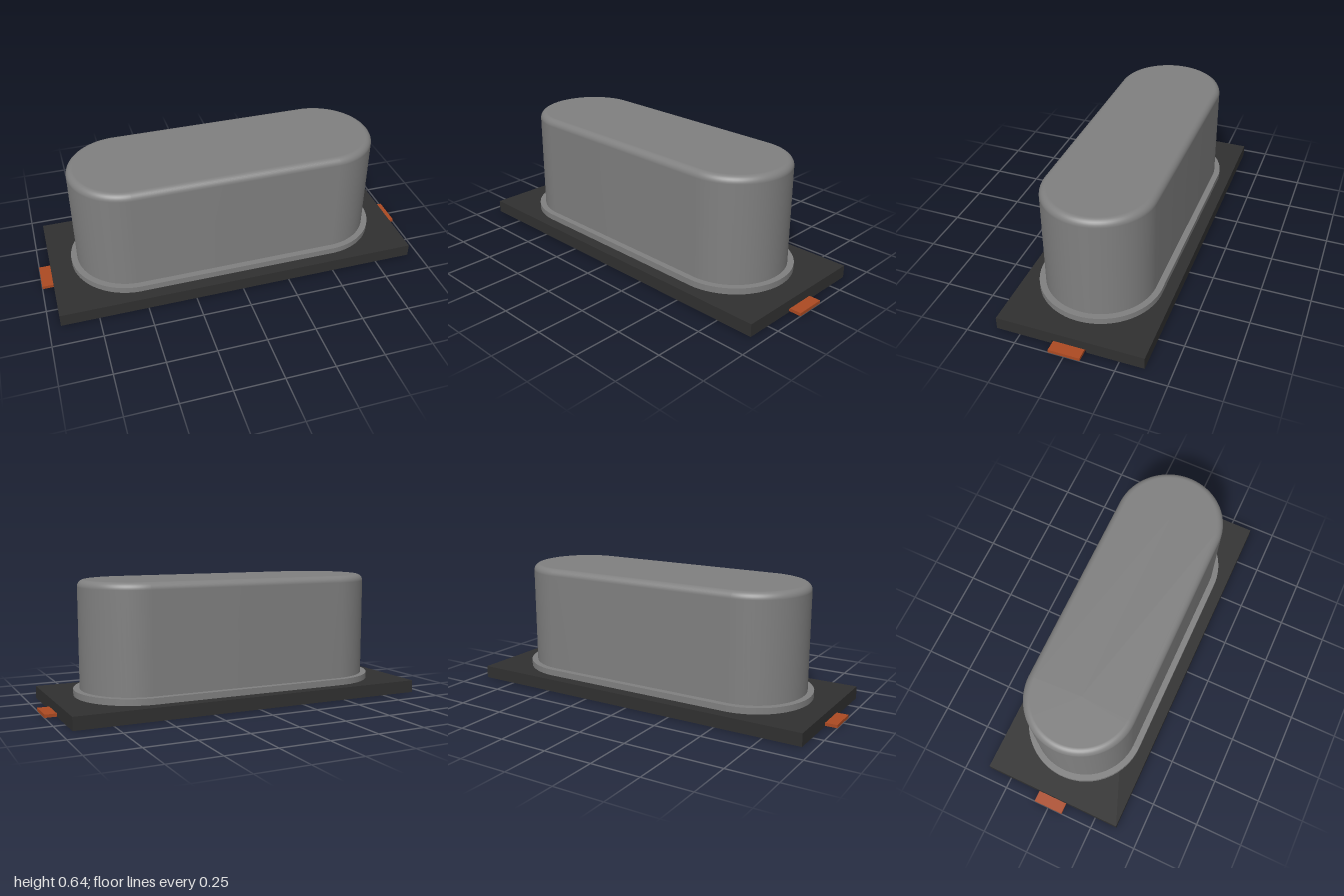
import * as THREE from 'three';

const SEGMENTS = 72;

// Turns a [radius, y] profile and pulls the halves apart into a stadium plan.
function stadium(profile, stretch) {
  const points = profile.map(([r, y]) => new THREE.Vector2(r, y));
  const geometry = new THREE.LatheGeometry(points, SEGMENTS, Math.PI / SEGMENTS);
  const position = geometry.attributes.position;
  for (let i = 0; i < position.count; i++) {
    const ring = Math.floor(i / points.length) % SEGMENTS;
    const side = ring < SEGMENTS / 2 ? 1 : -1;
    position.setX(i, position.getX(i) + side * stretch);
  }
  return geometry;
}

export function createModel() {
  const metal = new THREE.MeshStandardMaterial({ name: 'grey metal', color: 0x808080 });
  const plastic = new THREE.MeshStandardMaterial({ name: 'black plastic', color: 0x303030 });
  const copper = new THREE.MeshStandardMaterial({ name: 'copper', color: 0xac4a22 });

  const model = new THREE.Group();
  model.name = 'crystalPackage';
  const add = (name, geometry, material, x = 0, y = 0, z = 0) => {
    const mesh = new THREE.Mesh(geometry, material);
    mesh.name = name;
    mesh.position.set(x, y, z);
    model.add(mesh);
  };

  const baseX = 0.942, baseZ = 0.372, baseTop = 0.065;
  const slotTop = 0.018, slotZ = 0.088, slotX = 0.38;

  // Base plate: solid upper slab over a thin layer notched for the leads
  add('baseSlab', new THREE.BoxGeometry(baseX * 2, baseTop - slotTop, baseZ * 2), plastic,
    0, (baseTop + slotTop) / 2);
  const outline = new THREE.Shape([
    [-baseX, -baseZ], [baseX, -baseZ], [baseX, -slotZ], [slotX, -slotZ],
    [slotX, slotZ], [baseX, slotZ], [baseX, baseZ], [-baseX, baseZ],
    [-baseX, slotZ], [-slotX, slotZ], [-slotX, -slotZ], [-baseX, -slotZ],
  ].map(([x, z]) => new THREE.Vector2(x, z)));
  const notched = new THREE.ExtrudeGeometry(outline, { depth: slotTop, bevelEnabled: false });
  notched.rotateX(-Math.PI / 2);
  add('baseUnderside', notched, plastic);

  // Flat leads sitting in the slots and sticking out at both ends
  for (const [name, side] of [['leftLead', 1], ['rightLead', -1]]) {
    add(name, new THREE.BoxGeometry(1 - slotX, 0.016, 0.158), copper, side * (1 + slotX) / 2, 0.008);
  }

  // Flange; doubled profile points keep its rim sharp
  const stretch = 0.517, flangeTop = 0.097;
  add('flange', stadium([
    [0.312, baseTop], [0.312, flangeTop], [0.312, flangeTop], [0.27, flangeTop],
  ], stretch), metal);

  // Can with a rounded top edge
  const radius = 0.28, top = 0.64, round = 0.035;
  const profile = [[radius, flangeTop], [radius, top - round]];
  for (let i = 1; i <= 8; i++) {
    const a = (i / 8) * Math.PI / 2;
    profile.push([radius - round + round * Math.cos(a), top - round + round * Math.sin(a)]);
  }
  profile.push([0, top]);
  add('can', stadium(profile, stretch), metal);

  return model;
}
